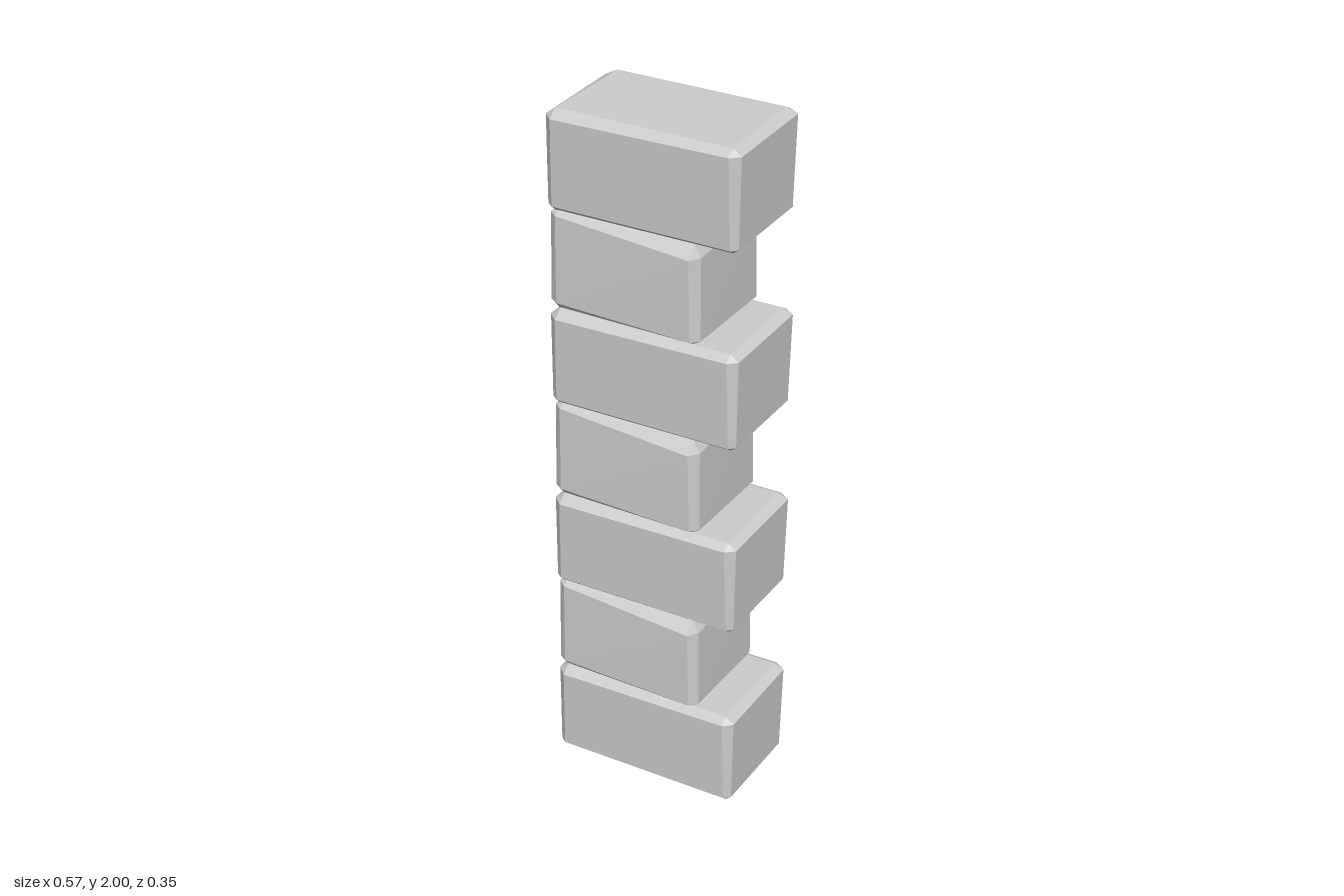
import * as THREE from 'three';
import { ConvexGeometry } from 'three/addons/geometries/ConvexGeometry.js';

const material = new THREE.MeshStandardMaterial({ color: 0xcccccc, flatShading: true });

// Hewn block: each corner is [x, y, z, bevelX, bevelY, bevelZ]; the corner is cut
// into three points, one on each of the faces that meet there.
function stoneGeometry(corners) {
  const points = [];
  for (const [x, y, z, bx, by, bz] of corners) {
    const xi = x - Math.sign(x) * bx;
    const yi = y > 0.14 ? y - by : y + by;
    const zi = z - Math.sign(z) * bz;
    points.push(
      new THREE.Vector3(x, yi, zi),
      new THREE.Vector3(xi, y, zi),
      new THREE.Vector3(xi, yi, z)
    );
  }
  return new ConvexGeometry(points);
}

// Long stone, spanning the full width
const longStone = stoneGeometry([
  [-0.287, 0.284, 0.172, 0.03, 0.023, 0.029],
  [0.285, 0.287, 0.167, 0.025, 0.018, 0.022],
  [0.282, 0.287, -0.173, 0.033, 0.012, 0.022],
  [-0.287, 0.287, -0.166, 0.038, 0.020, 0.022],
  [-0.283, 0, 0.164, 0.02, 0.014, 0.016],
  [0.280, 0.003, 0.160, 0.016, 0.012, 0.016],
  [0.278, 0.003, -0.164, 0.03, 0.016, 0.022],
  [-0.285, 0, -0.165, 0.03, 0.014, 0.022]
]);

// Short stone, flush on one side, with a sloping front upper edge
const shortStone = stoneGeometry([
  [-0.277, 0.283, 0.168, 0.026, 0.012, 0.022],
  [0.170, 0.280, 0.172, 0.020, 0.036, 0.030],
  [0.172, 0.280, -0.174, 0.024, 0.022, 0.030],
  [-0.275, 0.283, -0.168, 0.026, 0.022, 0.022],
  [-0.275, 0.003, 0.172, 0.024, 0.018, 0.016],
  [0.175, 0, 0.172, 0.020, 0.012, 0.022],
  [0.175, 0, -0.162, 0.030, 0.012, 0.018],
  [-0.272, 0.003, -0.162, 0.026, 0.016, 0.018]
]);

export function createModel() {
  const group = new THREE.Group();
  group.name = 'quoinColumn';
  // Seven courses, alternating long and short
  const pitch = (2 - 0.287) / 6;
  for (let i = 0; i < 7; i++) {
    const isLong = i % 2 === 0;
    const stone = new THREE.Mesh(isLong ? longStone : shortStone, material);
    stone.name = (isLong ? 'longStone' : 'shortStone') + (i + 1);
    stone.position.y = i * pitch + (isLong ? 0 : 0.006);
    group.add(stone);
  }
  return group;
}
